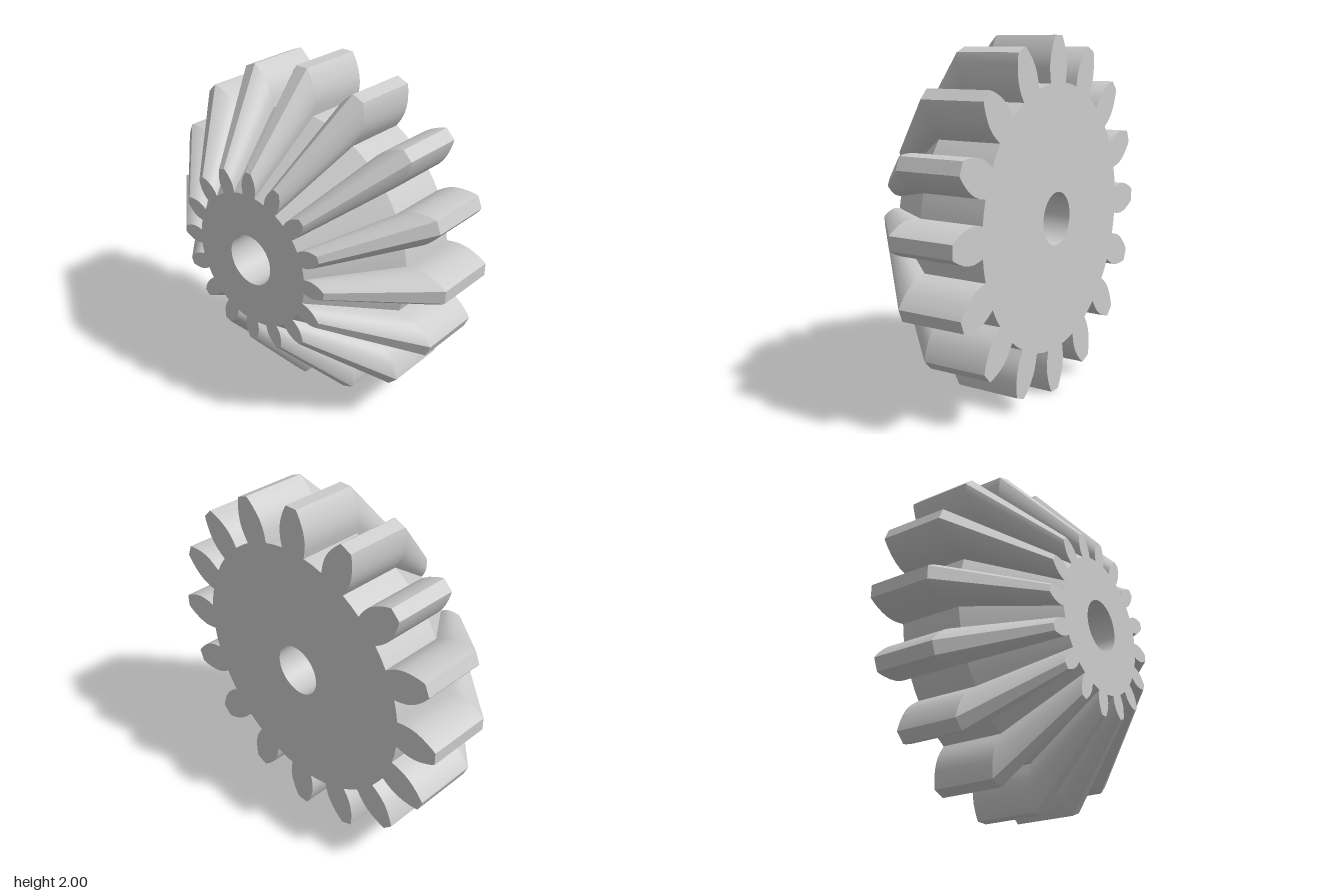
import * as THREE from 'three';
import { toCreasedNormals } from 'three/addons/utils/BufferGeometryUtils.js';

const TEETH = 16;
const BACK = -0.395, SHOULDER = -0.02, FRONT = 0.395;
const FRONT_SCALE = 0.53, ROOT = 0.75, BORE = 0.15;

// Half of one tooth, root to tip: [radius, half width]
const FLANK = [
  [0.745, 0.082], [0.79, 0.091], [0.83, 0.0945], [0.87, 0.091],
  [0.91, 0.081], [0.95, 0.065], [0.98, 0.05], [1.0, 0.037],
];

// Full toothed outline, counter-clockwise
function gearOutline() {
  const tooth = [
    ...FLANK.map(([r, w]) => [r, -w]),
    ...FLANK.slice().reverse(),
  ];
  const points = [];
  const centre = new THREE.Vector2();
  for (let i = 0; i < TEETH; i++) {
    const angle = (i / TEETH) * Math.PI * 2;
    for (const [r, w] of tooth) {
      points.push(new THREE.Vector2(r, w).rotateAround(centre, angle));
    }
    // middle of the gap between two teeth
    const gap = angle + Math.PI / TEETH;
    points.push(new THREE.Vector2(Math.cos(gap) * ROOT, Math.sin(gap) * ROOT));
  }
  return points;
}

function circle(radius, segments) {
  return Array.from({ length: segments }, (_, i) => {
    const a = (i / segments) * Math.PI * 2;
    return new THREE.Vector2(Math.cos(a) * radius, Math.sin(a) * radius);
  });
}

// Wall between two scaled copies of a closed loop
function wall(loop, z0, s0, z1, s1) {
  const positions = [];
  loop.forEach((a, i) => {
    const b = loop[(i + 1) % loop.length];
    const a0 = [a.x * s0, a.y * s0, z0], b0 = [b.x * s0, b.y * s0, z0];
    const a1 = [a.x * s1, a.y * s1, z1], b1 = [b.x * s1, b.y * s1, z1];
    positions.push(...a0, ...b0, ...b1, ...a0, ...b1, ...a1);
  });
  const geometry = new THREE.BufferGeometry();
  geometry.setAttribute('position', new THREE.Float32BufferAttribute(positions, 3));
  return toCreasedNormals(geometry, 0.5);
}

// Flat toothed face with the bore cut out
function face(outline, scale, bore) {
  const shape = new THREE.Shape(outline.map((p) => p.clone().multiplyScalar(scale)));
  shape.holes.push(new THREE.Path(bore));
  return new THREE.ShapeGeometry(shape);
}

export function createModel() {
  const group = new THREE.Group();
  group.name = 'bevelGear';
  const material = new THREE.MeshStandardMaterial({ color: 0xcccccc });
  const add = (name, geometry) => {
    const mesh = new THREE.Mesh(geometry, material);
    mesh.name = name;
    mesh.position.y = 1;
    group.add(mesh);
    return mesh;
  };

  const outline = gearOutline();
  const bore = circle(BORE, 48);

  // Straight rim behind, tapering teeth in front
  add('straightTeeth', wall(outline, BACK, 1, SHOULDER, 1));
  add('bevelledTeeth', wall(outline, SHOULDER, 1, FRONT, FRONT_SCALE));

  // End faces
  add('frontFace', face(outline, FRONT_SCALE, bore).translate(0, 0, FRONT));
  add('backFace', face(outline, 1, bore).rotateY(Math.PI).translate(0, 0, BACK));

  // Shaft hole, facing inward
  add('shaftBore', wall(bore.slice().reverse(), BACK, 1, FRONT, 1));

  return group;
}
